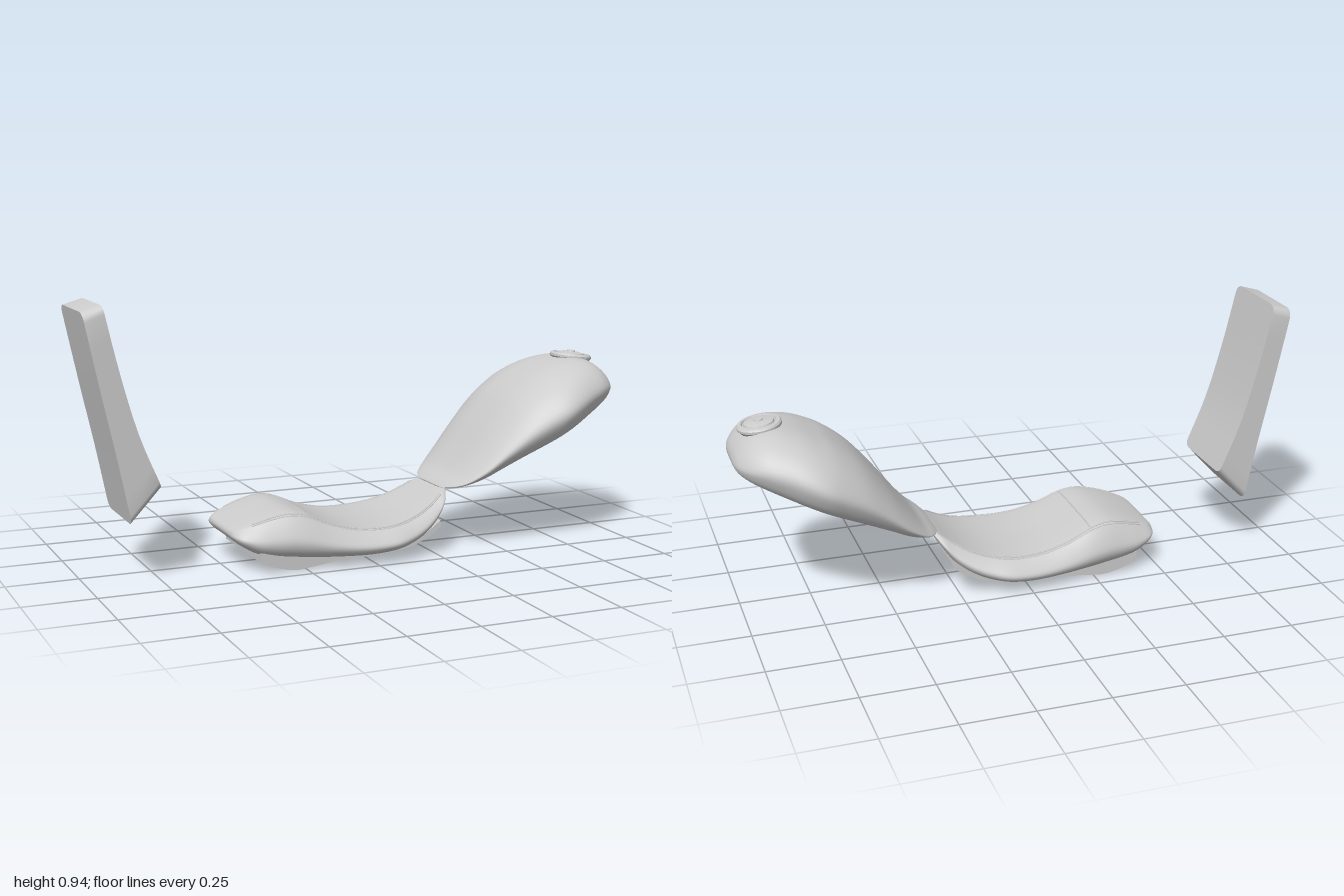
import * as THREE from 'three';
import { toCreasedNormals } from 'three/addons/utils/BufferGeometryUtils.js';

const V = (x, y, z) => new THREE.Vector3(x, y, z);

// Closed surface through a list of equal-length rings, with fanned end caps
function loft(rings) {
  const n = rings[0].length, pos = [], idx = [];
  rings.forEach(r => r.forEach(p => pos.push(p.x, p.y, p.z)));
  for (let i = 0; i < rings.length - 1; i++) {
    for (let j = 0; j < n; j++) {
      const k = (j + 1) % n, a = i * n + j, b = i * n + k;
      idx.push(a, b, b + n, a, b + n, a + n);
    }
  }
  [0, rings.length - 1].forEach((i, end) => {
    const c = rings[i].reduce((s, p) => s.add(p), V(0, 0, 0)).divideScalar(n);
    const m = pos.length / 3;
    pos.push(c.x, c.y, c.z);
    for (let j = 0; j < n; j++) {
      const a = i * n + j, b = i * n + (j + 1) % n;
      if (end) idx.push(m, a, b); else idx.push(m, b, a);
    }
  });
  const g = new THREE.BufferGeometry();
  g.setAttribute('position', new THREE.Float32BufferAttribute(pos, 3));
  g.setIndex(idx);
  g.computeVertexNormals();
  return g;
}

// Smooth lookup of stations [x, bottom, top, halfWidth]
function stations(keys) {
  const a = new THREE.CatmullRomCurve3(keys.map(k => V(k[0], k[1], k[2])), false, 'catmullrom', 0.5);
  const b = new THREE.CatmullRomCurve3(keys.map(k => V(k[3], 0, 0)), false, 'catmullrom', 0.5);
  return t => {
    const p = a.getPoint(t);
    return { x: p.x, lo: p.y, hi: p.z, w: b.getPoint(t).x };
  };
}

// Mirrored half profile [z, y] swept along the stations
function body(at, profile, steps) {
  const half = new THREE.SplineCurve(profile.map(p => new THREE.Vector2(...p))).getPoints(32);
  const ring = [...half, ...half.slice(1, -1).reverse().map(p => new THREE.Vector2(-p.x, p.y))];
  const rings = [];
  for (let i = 0; i <= steps; i++) {
    const s = at(i / steps);
    rings.push(ring.map(p => V(s.x, s.lo + (s.hi - s.lo) * p.y, s.w * p.x)));
  }
  return loft(rings);
}

export function createModel() {
  const grey = new THREE.MeshStandardMaterial({ color: 0xcccccc });
  grey.name = 'light grey';
  const model = new THREE.Group();
  const add = (name, geometry, parent = model) => {
    const m = new THREE.Mesh(geometry, grey);
    m.name = name;
    parent.add(m);
    return m;
  };

  // Fuel tank
  const tankAt = stations([
    [0.308, 0.217, 0.222, 0.09], [0.33, 0.219, 0.24, 0.145], [0.37, 0.228, 0.272, 0.19],
    [0.43, 0.247, 0.345, 0.225], [0.5, 0.28, 0.438, 0.25], [0.58, 0.318, 0.53, 0.275],
    [0.66, 0.355, 0.592, 0.293], [0.72, 0.384, 0.622, 0.3], [0.78, 0.412, 0.645, 0.285],
    [0.85, 0.446, 0.658, 0.252], [0.91, 0.477, 0.652, 0.22], [0.955, 0.502, 0.627, 0.183],
    [0.985, 0.523, 0.595, 0.135], [0.997, 0.54, 0.573, 0.09], [1.0, 0.553, 0.56, 0.05],
  ]);
  add('fuelTank', body(tankAt, [
    [0, 1], [0.35, 0.985], [0.64, 0.89], [0.86, 0.72], [1, 0.48],
    [0.96, 0.27], [0.84, 0.1], [0.6, 0.02], [0.3, 0], [0, 0],
  ], 70));

  // Filler cap: flared collar, groove and shallow dome
  const capProfile = [[0, -0.035], [0.05, -0.035], [0.077, -0.003], [0.077, 0.005], [0.072, 0.011],
    [0.06, 0.012], [0.057, 0.006], [0.053, 0.006], [0.05, 0.013], [0.03, 0.017], [0, 0.018]];
  const cap = new THREE.Group();
  cap.name = 'fillerCap';
  cap.position.set(0.893, 0.654, 0);
  cap.rotation.z = -0.12;
  model.add(cap);
  add('capBody', toCreasedNormals(
    new THREE.LatheGeometry(capProfile.map(p => new THREE.Vector2(...p)), 48), 0.5), cap);
  add('capLock', new THREE.CylinderGeometry(0.014, 0.016, 0.006, 24), cap).position.y = 0.019;

  // Seat cushion
  const seatAt = stations([
    [-0.5, 0.124, 0.132, 0.1], [-0.493, 0.112, 0.142, 0.145], [-0.47, 0.092, 0.154, 0.178],
    [-0.42, 0.064, 0.173, 0.2], [-0.36, 0.05, 0.191, 0.212], [-0.3, 0.044, 0.2, 0.222],
    [-0.24, 0.038, 0.189, 0.23], [-0.16, 0.033, 0.154, 0.238], [-0.08, 0.03, 0.13, 0.245],
    [0, 0.03, 0.121, 0.25], [0.08, 0.037, 0.124, 0.249], [0.15, 0.052, 0.137, 0.228],
    [0.21, 0.078, 0.158, 0.205], [0.26, 0.115, 0.184, 0.18], [0.295, 0.16, 0.206, 0.155],
    [0.318, 0.195, 0.219, 0.115], [0.33, 0.215, 0.224, 0.08],
  ]);
  add('seatCushion', body(seatAt, [
    [0, 1], [0.4, 1], [0.74, 0.97], [0.83, 0.88], [0.94, 0.62],
    [1, 0.36], [0.93, 0.12], [0.75, 0], [0.35, 0], [0, 0],
  ], 80));

  // Twin seams along both shoulders of the seat
  for (const side of [-1, 1]) {
    for (const [z, y] of [[0.75, 0.965], [0.79, 0.93]]) {
      const pts = [];
      for (let i = 0; i <= 30; i++) {
        const s = seatAt(0.17 + 0.7 * i / 30);
        pts.push(V(s.x, s.lo + (s.hi - s.lo) * y, side * s.w * z));
      }
      add('seatSeam', new THREE.TubeGeometry(new THREE.CatmullRomCurve3(pts), 60, 0.0035, 6));
    }
  }
  // Seam across the rear rise
  const rise = seatAt(6 / 16);
  const across = [-0.75, -0.4, 0, 0.4, 0.75].map(z =>
    V(rise.x, rise.lo + (rise.hi - rise.lo) * (Math.abs(z) > 0.5 ? 0.965 : 1), z * rise.w));
  add('crossSeam', new THREE.TubeGeometry(new THREE.CatmullRomCurve3(across), 30, 0.003, 6));

  // Seat base pan
  const pan = new THREE.Shape();
  pan.moveTo(-0.415, 0.072);
  pan.lineTo(-0.415, 0.037);
  pan.splineThru([[-0.36, 0.015], [-0.29, 0], [-0.22, 0.006], [-0.12, 0.018], [0, 0.022],
    [0.09, 0.028], [0.16, 0.042], [0.22, 0.07], [0.265, 0.1]].map(p => new THREE.Vector2(...p)));
  pan.lineTo(0.262, 0.122);
  pan.splineThru([[0.21, 0.085], [0.14, 0.055], [0.05, 0.042], [-0.1, 0.04], [-0.27, 0.05],
    [-0.415, 0.072]].map(p => new THREE.Vector2(...p)));
  const panGeo = new THREE.ExtrudeGeometry(pan, { depth: 0.374, bevelEnabled: false, curveSegments: 6 });
  panGeo.translate(0, 0, -0.187);
  add('seatBase', toCreasedNormals(panGeo, 0.5));

  // Upright rear panel: thin curved wedge with rounded corners
  const outer = new THREE.CatmullRomCurve3([V(-1, 0.915, 0), V(-0.945, 0.65, 0), V(-0.895, 0.42, 0), V(-0.852, 0.203, 0)]);
  const inner = new THREE.CatmullRomCurve3([V(-0.932, 0.935, 0), V(-0.88, 0.71, 0), V(-0.82, 0.5, 0), V(-0.746, 0.318, 0)]);
  const ends = [[0, 0.118], [0.004, 0.131], [0.014, 0.142], [0.028, 0.148], [0.042, 0.15]];
  const mids = [0.15, 0.25, 0.35, 0.45, 0.55, 0.65, 0.75, 0.85].map(t => [t, 0.15]);
  const spans = [...ends, ...mids, ...ends.map(([t, w]) => [1 - t, w]).reverse()];
  add('rearPanel', toCreasedNormals(loft(spans.map(([t, w]) => {
    const o = outer.getPoint(t), i = inner.getPoint(t);
    return [V(i.x, i.y, -w), V(i.x, i.y, w), V(o.x, o.y, w), V(o.x, o.y, -w)];
  })), 0.6));

  return model;
}
